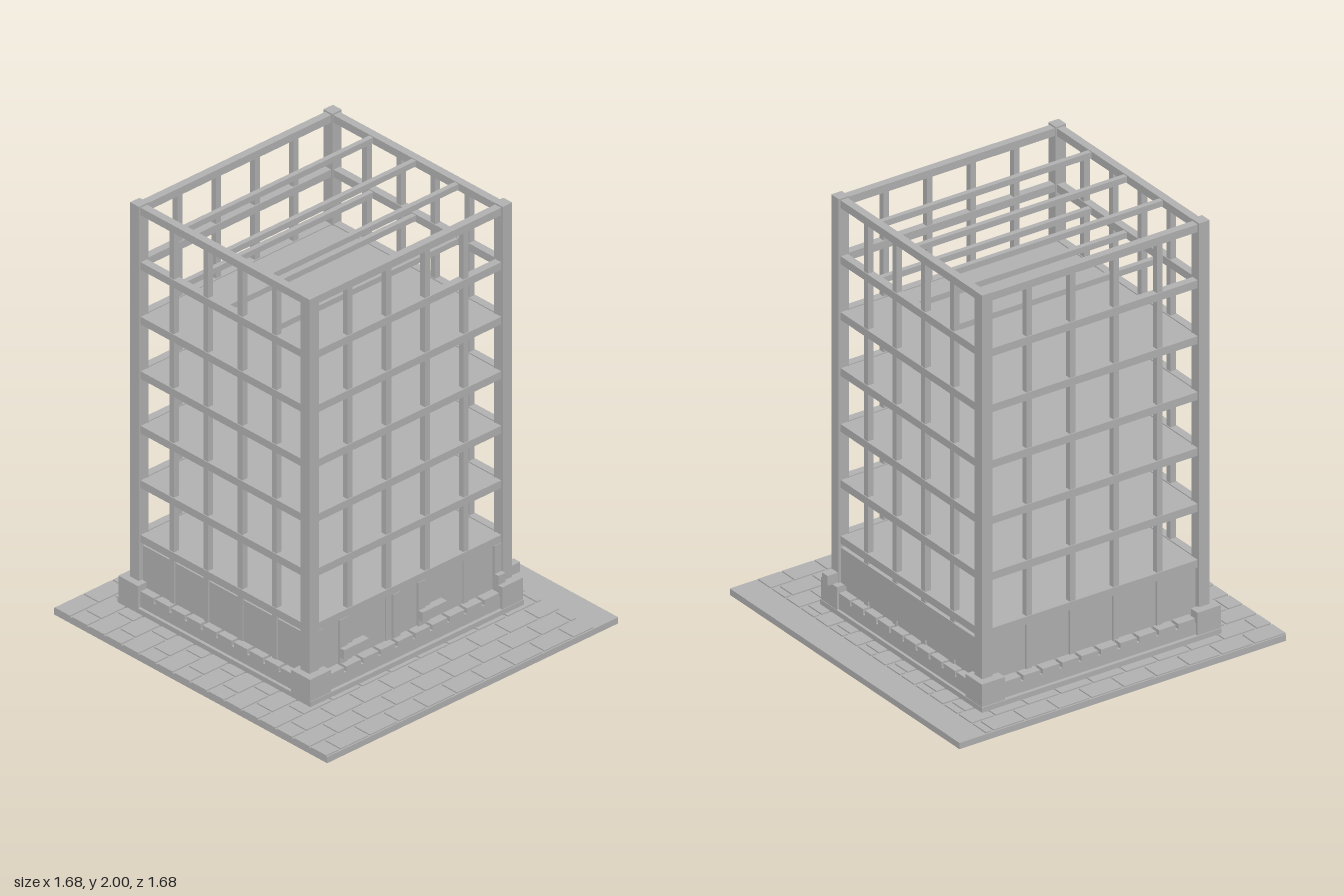
import * as THREE from 'three';

export function createModel() {
  const model = new THREE.Group();
  const grey = new THREE.MeshStandardMaterial({ color: 0xb2b2b2 });
  grey.name = 'concreteGrey';

  const group = (name) => {
    const g = new THREE.Group();
    g.name = name;
    model.add(g);
    return g;
  };
  // Box given by its minimum and maximum on each axis
  const box = (parent, name, x0, x1, y0, y1, z0, z1) => {
    const m = new THREE.Mesh(new THREE.BoxGeometry(x1 - x0, y1 - y0, z1 - z0), grey);
    m.position.set((x0 + x1) / 2, (y0 + y1) / 2, (z0 + z1) / 2);
    m.name = name;
    parent.add(m);
  };

  // Tower footprint
  const X0 = -0.585, X1 = 0.585, Z0 = -0.642, Z1 = 0.46;
  const post = 0.054, beam = 0.037, inset = 0.01;
  const bx0 = X0 + inset, bx1 = X1 - inset, bz0 = Z0 + inset, bz1 = Z1 - inset;
  const levels = [0, 1, 2, 3, 4, 5, 6].map((i) => 0.39 + i * 0.267);

  // Ground plate with staggered paving
  const ground = group('ground');
  box(ground, 'groundPlate', -0.84, 0.84, 0, 0.03, -0.84, 0.84);
  const rows = 16, depth = 1.68 / rows, length = 0.168, joint = 0.012;
  for (let r = 0; r < rows; r++) {
    const z = -0.84 + r * depth;
    for (let x = -0.84 - (r % 2) * length / 2; x < 0.68; x += length) {
      const a = Math.max(x, -0.84), b = Math.min(x + length - joint, 0.7);
      const hidden = a > -0.6 && b < 0.6 && z > -0.66 && z + depth < 0.48;
      if (!hidden) box(ground, 'pavingStone', a, b, 0.029, 0.036, z + joint / 2, z + depth - joint / 2);
    }
  }

  // Stepped plinth with corner blocks
  const plinth = group('plinth');
  box(plinth, 'plinthStep', -0.617, 0.615, 0.03, 0.06, -0.685, 0.5);
  for (const [x0, x1] of [[-0.617, -0.497], [0.493, 0.613]]) {
    for (const front of [false, true]) {
      const [z0, z1] = front ? [0.38, 0.497] : [-0.68, -0.56];
      const ox = x0 < 0 ? [x0, x0 + 0.05] : [x1 - 0.05, x1];
      const oz = front ? [z1 - 0.05, z1] : [z0, z0 + 0.05];
      box(plinth, 'cornerBlock', x0, x1, 0.06, 0.168, oz[0], oz[1]);
      box(plinth, 'cornerBlock', ox[0], ox[1], 0.06, 0.168, z0, z1);
    }
  }
  // Stone courses between the corner blocks, with notched tops
  const stones = 10;
  box(plinth, 'stoneCourse', -0.5, 0.495, 0.06, 0.112, 0.44, 0.483);
  box(plinth, 'stoneCourse', -0.5, 0.495, 0.06, 0.112, -0.667, -0.62);
  box(plinth, 'stoneCourse', -0.602, -0.565, 0.06, 0.112, -0.57, 0.39);
  box(plinth, 'stoneCourse', 0.565, 0.602, 0.06, 0.112, -0.57, 0.39);
  for (let i = 0; i < stones; i++) {
    const a = -0.5 + i * 0.0995, b = a + 0.0995, g = 0.007;
    box(plinth, 'stone', a + g, b - g, 0.11, 0.137, 0.44, 0.483);
    box(plinth, 'stone', a + g, b - g, 0.11, 0.137, -0.667, -0.62);
    const c = -0.57 + i * 0.096, d = c + 0.096;
    box(plinth, 'stone', -0.602, -0.565, 0.11, 0.137, c + g, d - g);
    box(plinth, 'stone', 0.565, 0.602, 0.11, 0.137, c + g, d - g);
  }

  // Corner posts
  const frame = group('frame');
  for (const x of [X0, X1 - post])
    for (const z of [Z0, Z1 - post]) box(frame, 'cornerPost', x, x + post, 0.06, 2, z, z + post);

  // Ring of beams at every level
  for (const top of levels) {
    const y = top - beam;
    for (const z of [bz0, bz1 - beam]) box(frame, 'crossBeam', X0 + post, X1 - post, y, top, z, z + beam);
    for (const x of [bx0, bx1 - beam]) box(frame, 'sideBeam', x, x + beam, y, top, Z0 + post, Z1 - post);
  }

  // Mullions dividing each face into five bays
  const mull = 0.029;
  for (let i = 0; i < 4; i++) {
    const x = -0.338 + i * 0.2235, z = 0.228 - i * 0.21;
    for (const c of [bz0 + beam / 2, bz1 - beam / 2])
      box(frame, 'mullion', x - mull / 2, x + mull / 2, 0.06, 1.97, c - mull / 2, c + mull / 2);
    for (const c of [bx0 + beam / 2, bx1 - beam / 2])
      box(frame, 'mullion', c - mull / 2, c + mull / 2, 0.06, 1.97, z - mull / 2, z + mull / 2);
  }

  // Floor slabs on the lower levels, open joists on the top two
  const floors = group('floors');
  levels.forEach((top, i) => {
    if (i < 5) {
      box(floors, 'floorSlab', bx0 + beam, bx1 - beam, top - 0.03, top - 0.005, bz0 + beam, bz1 - beam);
    } else {
      for (const z of [-0.356, -0.094, 0.168])
        box(floors, 'joist', bx0 + beam, bx1 - beam, top - 0.032, top - 0.004, z - 0.012, z + 0.012);
    }
  });

  // Ground floor walls
  const walls = group('groundFloorWalls');
  box(walls, 'frontWall', X0 + post, X1 - post, 0.06, 0.36, bz1 - 0.035, bz1 - 0.012);
  box(walls, 'backWall', X0 + post, X1 - post, 0.06, 0.36, bz0 + 0.014, bz0 + 0.035);
  box(walls, 'rightWall', bx0 + 0.012, bx0 + 0.035, 0.06, 0.335, Z0 + post, Z1 - post);
  box(walls, 'leftWall', bx1 - 0.03, bx1 - 0.001, 0.165, 0.335, Z0 + post, Z1 - post);
  box(walls, 'leftWallBase', bx1 - 0.03, bx1 - 0.012, 0.06, 0.165, Z0 + post, Z1 - post);

  // Door surrounds and low blocks on the front
  for (const [a, b] of [[-0.538, -0.497], [-0.4, -0.358], [-0.093, -0.052], [0.052, 0.093], [0.492, 0.531]])
    box(walls, 'doorJamb', a, b, 0.135, 0.352, bz1 - 0.03, bz1 + 0.002);
  for (const [a, b] of [[-0.4, -0.255], [0.052, 0.195], [0.492, 0.531]])
    box(walls, 'doorBlock', a, b, 0.17, 0.215, bz1 - 0.03, bz1 + 0.025);
  box(walls, 'sideBlock', 0.57, 0.638, 0.168, 0.215, 0.412, 0.452);

  return model;
}
